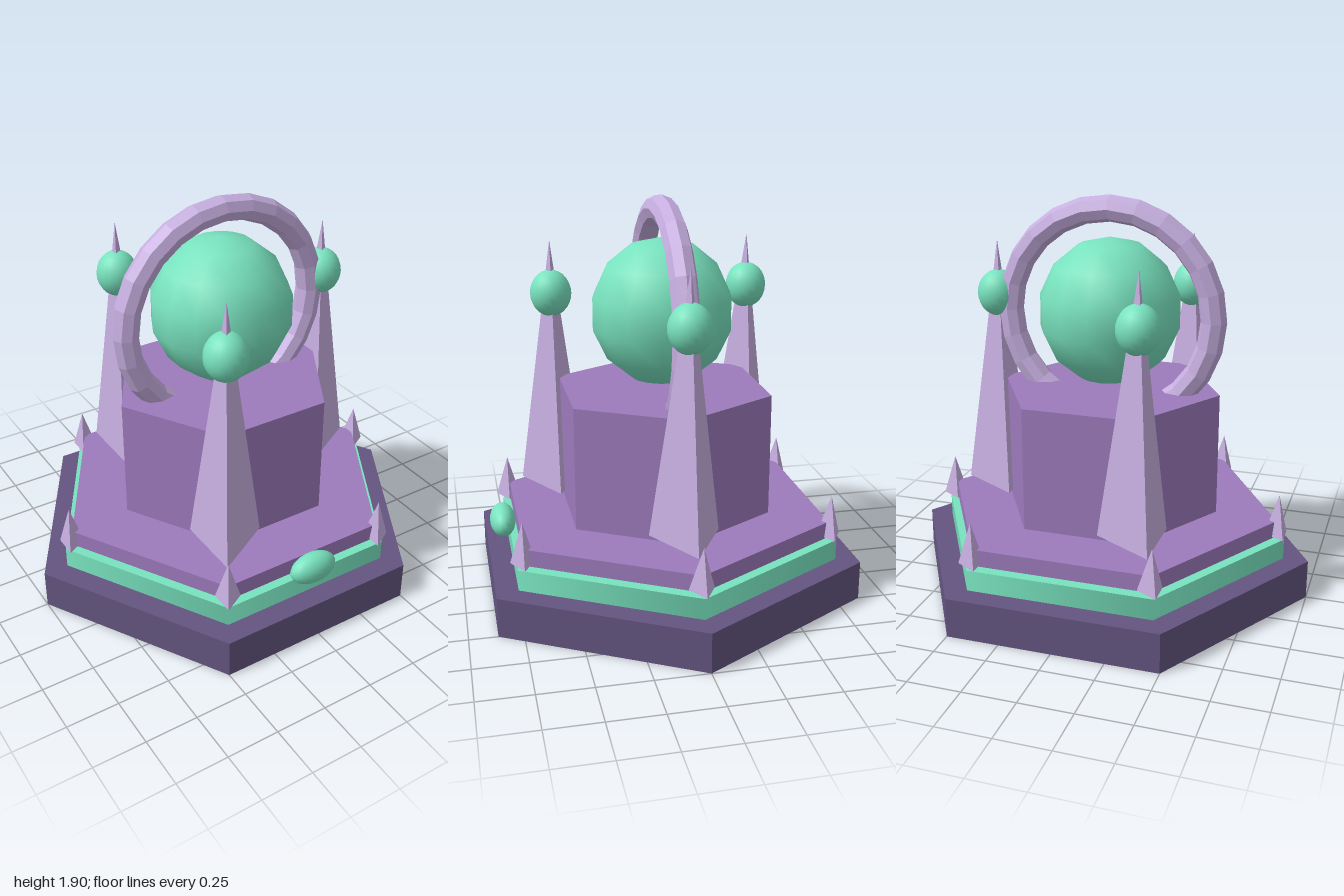
import * as THREE from 'three';

export function createModel() {
  const model = new THREE.Group();
  const material = (name, color, flatShading) => {
    const m = new THREE.MeshStandardMaterial({ color, flatShading });
    m.name = name;
    return m;
  };
  const darkViolet = material('dark violet', 0x635480, true);
  const violet = material('violet', 0x9c7abb, true);
  const lavender = material('lavender', 0xc6aee0, true);
  const jade = material('jade', 0x78e2be, false);

  const add = (name, geometry, mat, x = 0, y = 0, z = 0) => {
    const mesh = new THREE.Mesh(geometry, mat);
    mesh.name = name;
    mesh.position.set(x, y, z);
    model.add(mesh);
    return mesh;
  };

  // Hexagonal prism with corners on the x axis
  const hexagon = (name, radius, bottom, top, mat) => {
    const g = new THREE.CylinderGeometry(radius, radius, top - bottom, 6);
    add(name, g.rotateY(Math.PI / 2), mat, 0, (bottom + top) / 2);
  };
  hexagon('base', 1, 0, 0.19, darkViolet);
  hexagon('trimStep', 0.88, 0.19, 0.29, jade);
  hexagon('upperStep', 0.84, 0.3, 0.38, violet);
  hexagon('core', 0.543, 0.39, 0.985, violet);

  // Three-sided spike with one corner towards +x
  const spike = (name, radius, bottom, top, x, z) => {
    const g = new THREE.ConeGeometry(radius, top - bottom, 3);
    add(name, g.rotateY(Math.PI / 2), lavender, x, (bottom + top) / 2, z);
  };

  // Tall spires, each carrying an oval orb
  for (let i = 0; i < 3; i++) {
    const a = (i * Math.PI * 2) / 3;
    const x = 0.572 * Math.cos(a), z = 0.572 * Math.sin(a);
    spike('spire', 0.19, 0.422, 1.667, x, z);
    add('spireOrb', new THREE.SphereGeometry(1, 18, 14), jade, x, 1.406, z).scale.set(0.101, 0.114, 0.101);
  }

  // Small spikes at the corners of the step
  for (let i = 0; i < 6; i++) {
    const a = (i * Math.PI) / 3;
    spike('cornerSpike', 0.067, 0.307, 0.515, 0.848 * Math.cos(a), 0.848 * Math.sin(a));
  }

  // Great orb, its ring and the front gem
  const orb = new THREE.SphereGeometry(1, 14, 7).rotateY(Math.PI / 2);
  add('greatOrb', orb, jade, 0, 1.356, 0).scale.set(0.342, 0.353, 0.342);
  add('ring', new THREE.TorusGeometry(0.504, 0.063, 8, 24), lavender, 0, 1.337, 0);
  add('frontGem', new THREE.SphereGeometry(1, 18, 14), jade, 0, 0.354, 0.795).scale.set(0.12, 0.075, 0.062);

  return model;
}
